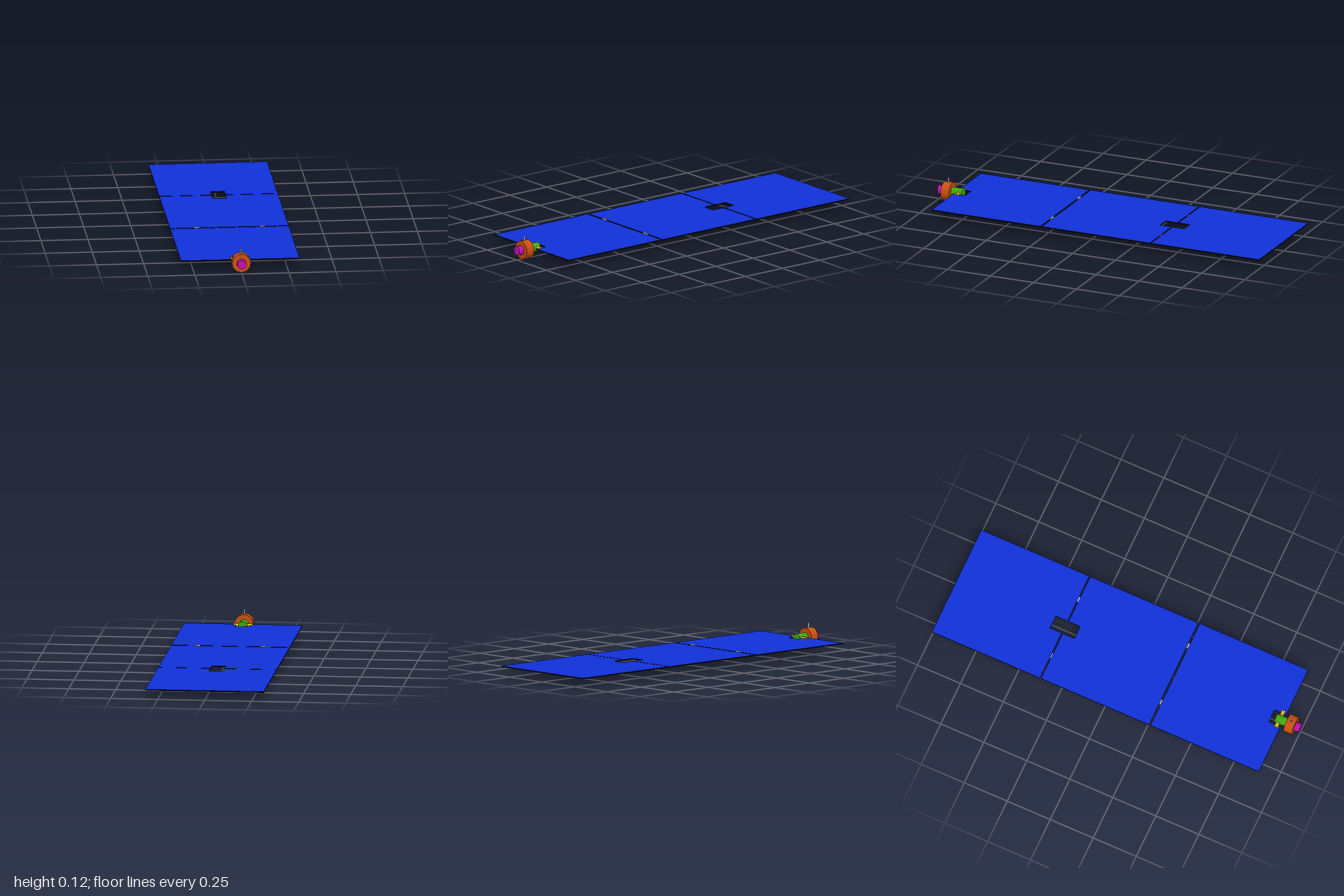
import * as THREE from 'three';

const mat = (color) => new THREE.MeshStandardMaterial({ color });
const flat = (color) => new THREE.MeshStandardMaterial({ color, flatShading: true });
const blue = mat(0x1030d8), black = mat(0x0a0a0a), grey = mat(0xcccccc);
const AXIS_Y = 0.051, HALF_W = 0.315, THICK = 0.006;

export function createModel() {
  const model = new THREE.Group();
  const add = (name, geometry, material, x, y, z, parent = model) => {
    const mesh = new THREE.Mesh(geometry, material);
    mesh.name = name;
    mesh.position.set(x, y, z);
    parent.add(mesh);
    return mesh;
  };

  // Thin panel from z0 to z1 with a notch in its front (+1) or back (-1) edge
  const panel = (name, z0, z1, notchSide) => {
    const half = (z1 - z0) / 2, n = 0.037, depth = 0.068;
    const shape = new THREE.Shape([
      [-HALF_W, -half], [HALF_W, -half], [HALF_W, half],
      [n, half], [n, half - depth], [-n, half - depth], [-n, half], [-HALF_W, half],
    ].map(([x, y]) => new THREE.Vector2(x, y)));
    const geo = new THREE.ExtrudeGeometry(shape, { depth: THICK, bevelEnabled: false });
    geo.translate(0, 0, -THICK / 2);
    geo.rotateX(-Math.PI / 2);
    if (notchSide > 0) geo.rotateY(Math.PI);
    add(name, geo, [blue, black], 0, AXIS_Y, (z0 + z1) / 2);
  };
  panel('outerPanel', -1, -0.372, 1);
  panel('middlePanel', -0.366, 0.262, -1);
  panel('innerPanel', 0.271, 0.9, 1);

  // Hinge barrels: above the inner joint, below the outer joint
  for (const [joint, z, dy] of [['inner', 0.267, 0.005], ['outer', -0.369, -0.004]]) {
    for (const side of [-1, 1]) {
      const geo = new THREE.CylinderGeometry(0.005, 0.005, 0.03, 12).rotateZ(Math.PI / 2);
      add(`${joint}Hinge${side > 0 ? 'Left' : 'Right'}`, geo, grey, side * 0.174, AXIS_Y + dy, z);
    }
  }

  // Drive unit at the front edge
  const drive = new THREE.Group();
  drive.name = 'driveUnit';
  model.add(drive);
  const drum = (name, r, z0, z1, sides, color) => {
    const geo = new THREE.CylinderGeometry(r, r, z1 - z0, sides).rotateX(Math.PI / 2);
    add(name, geo, flat(color), 0, AXIS_Y, (z0 + z1) / 2, drive);
  };
  drum('driveHousing', 0.05, 0.922, 0.97, 16, 0xc85010);
  drum('frontShaft', 0.0245, 0.968, 1, 24, 0xc010b0);
  drum('rearYoke', 0.0245, 0.858, 0.924, 16, 0x40a810);

  // Cross axle through the yoke
  add('crossAxle', new THREE.CylinderGeometry(0.011, 0.011, 0.102, 16).rotateZ(Math.PI / 2),
    flat(0xd8b010), 0, AXIS_Y, 0.878, drive);

  // Locating pin on top of the housing
  add('topPin', new THREE.CylinderGeometry(0.005, 0.005, 0.03, 12), grey, 0, 0.11, 0.946, drive);

  return model;
}
